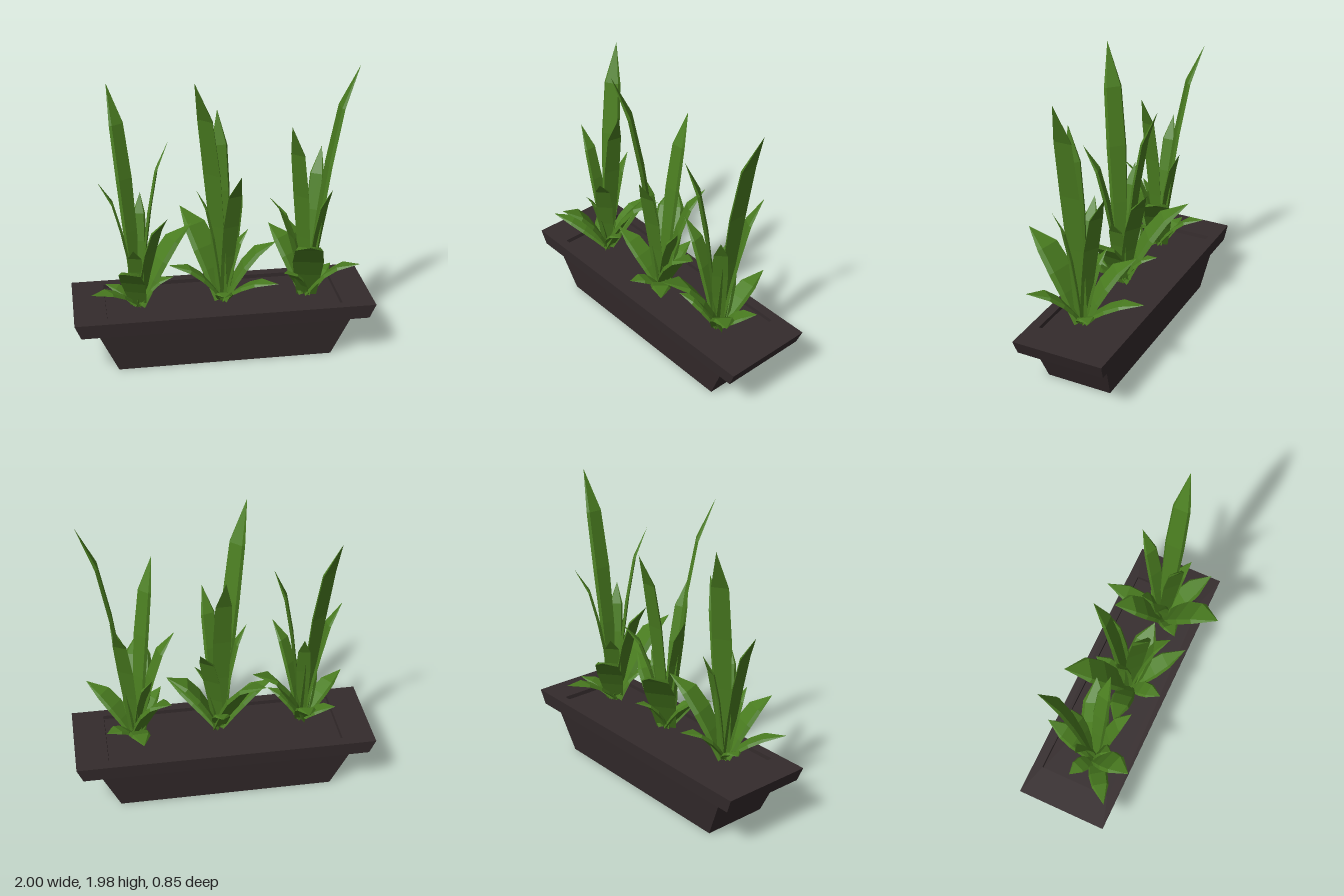
import * as THREE from 'three';

const leafGreen = new THREE.MeshStandardMaterial({ color: 0x4a7d20, side: THREE.DoubleSide });
leafGreen.name = 'leaf green';
const potBrown = new THREE.MeshStandardMaterial({ color: 0x342b2c });
potBrown.name = 'dark brown';

// Faceted mesh from a flat list of triangle corner points
function facets(name, points, material) {
  const geometry = new THREE.BufferGeometry().setFromPoints(points);
  geometry.computeVertexNormals();
  const mesh = new THREE.Mesh(geometry, material);
  mesh.name = name;
  return mesh;
}

// Quads joining two rings of four corners
function bridge(points, a, b) {
  for (let i = 0; i < 4; i++) {
    const j = (i + 1) % 4;
    points.push(a[i], a[j], b[j], a[i], b[j], b[i]);
  }
}

// Stack of rectangles [y, halfWidth, halfDepth], optionally closed at either end
function rectLoft(name, sections, capBottom, capTop) {
  const corners = [[1, 1], [1, -1], [-1, -1], [-1, 1]];
  const rings = sections.map(([y, hx, hz]) =>
    corners.map(([sx, sz]) => new THREE.Vector3(sx * hx, y, sz * hz)));
  const points = [];
  for (let k = 0; k < rings.length - 1; k++) bridge(points, rings[k], rings[k + 1]);
  const [first, last] = [rings[0], rings[rings.length - 1]];
  if (capBottom) points.push(first[2], first[1], first[0], first[3], first[2], first[0]);
  if (capTop) points.push(last[0], last[1], last[2], last[0], last[2], last[3]);
  return facets(name, points, potBrown);
}

// Share of reach, share of height and share of width along an arching leaf
const LEAF_SPINE = [
  [0, 0, 0.65], [0.22, 0.35, 0.88], [0.40, 0.59, 1], [0.64, 0.83, 0.88],
];

// Flat, slightly thick blade growing along +x, bevelled towards its inner side
function makeLeaf([angle, reach, height, width]) {
  const start = 0.015;
  const slope = Math.hypot(reach, height);
  const rings = LEAF_SPINE.map(([r, h, w]) => {
    const x = start + (reach - start) * r, y = height * h, half = width * w / 2;
    // The inner face is offset square to the average slope of the blade
    const thick = half * 0.3;
    const xi = x - thick * height / slope, yi = y + thick * reach / slope;
    return [
      new THREE.Vector3(x, y, half), new THREE.Vector3(x, y, -half),
      new THREE.Vector3(xi, yi, -half * 0.8), new THREE.Vector3(xi, yi, half * 0.8),
    ];
  });
  const points = [];
  for (let k = 0; k < rings.length - 1; k++) bridge(points, rings[k], rings[k + 1]);
  // Pointed end
  const tip = new THREE.Vector3(reach, height, 0);
  const last = rings[rings.length - 1];
  for (let i = 0; i < 4; i++) points.push(last[i], last[(i + 1) % 4], tip);

  const leaf = facets('leaf', points, leafGreen);
  leaf.rotation.y = -THREE.MathUtils.degToRad(angle);
  return leaf;
}

// Leaves of one plant: angle from +x towards +z, reach, height, width
const LEAVES = [
  [0, 0.305, 1.60, 0.135],
  [134, 0.235, 1.27, 0.12],
  [299, 0.26, 0.98, 0.11],
  [169, 0.29, 0.76, 0.12],
  [46, 0.18, 0.81, 0.10],
  [101, 0.435, 0.55, 0.205],
  [231, 0.35, 0.42, 0.18],
  [37, 0.38, 0.31, 0.15],
  [267, 0.425, 0.23, 0.14],
  [139, 0.26, 0.25, 0.12],
  [226, 0.165, 0.51, 0.11],
  [323, 0.25, 0.14, 0.12],
];

function makePlant(name, x, turn, scale) {
  const plant = new THREE.Group();
  plant.name = name;
  LEAVES.forEach((spec) => plant.add(makeLeaf(spec)));
  plant.position.set(x, 0.38, 0);
  plant.rotation.y = -THREE.MathUtils.degToRad(turn);
  plant.scale.setScalar(scale);
  return plant;
}

export function createModel() {
  const model = new THREE.Group();
  model.name = 'planter with spiky plants';

  // Tapered trough with an overhanging rim and sunken soil
  const trough = new THREE.Group();
  trough.name = 'trough';
  trough.position.z = -0.042;
  trough.add(rectLoft('body', [[0, 0.72, 0.223], [0.297, 0.85, 0.262]], true, false));
  trough.add(rectLoft('rim', [
    [0.297, 0.85, 0.262], [0.297, 0.96, 0.3], [0.397, 1, 0.31], [0.397, 0.785, 0.245], [0.37, 0.782, 0.244],
  ], false, false));
  trough.add(rectLoft('soil', [[0.36, 0.782, 0.244], [0.37, 0.782, 0.244]], false, true));
  model.add(trough);

  // The same plant three times, each turned differently
  model.add(makePlant('rightPlant', -0.562, 238, 0.925));
  model.add(makePlant('middlePlant', 0.01, 134, 1));
  model.add(makePlant('leftPlant', 0.58, 0, 1));
  return model;
}
